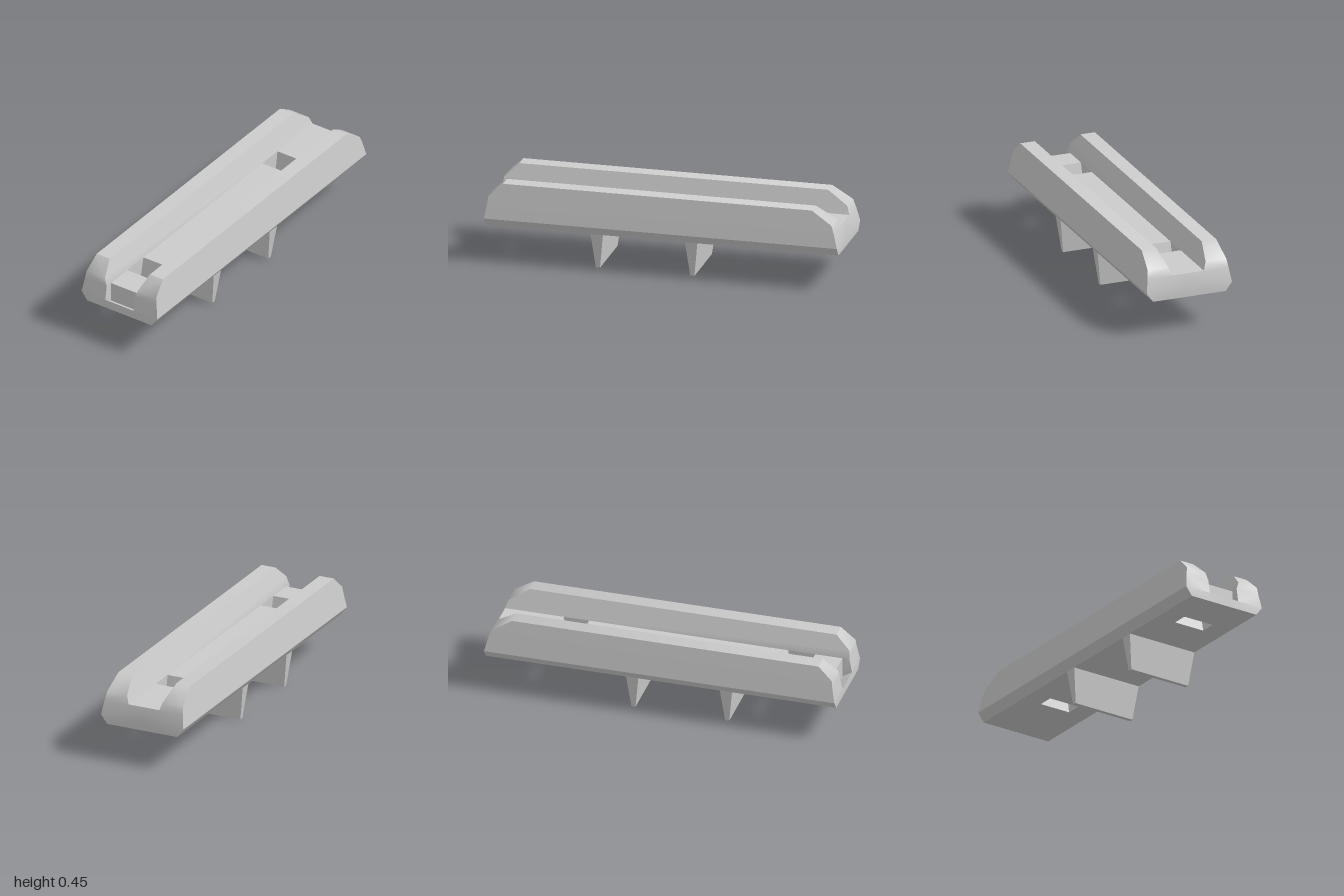
import * as THREE from 'three';
import { toCreasedNormals } from 'three/addons/utils/BufferGeometryUtils.js';

// Cross-section levels: height, outer half width, channel half width, end positions
const levels = [
  { y: 0.2, out: 0.215, x0: -1, x1: 1 },
  { y: 0.25, out: 0.252, x0: -1, x1: 1 },
  { y: 0.33, out: 0.24, inn: 0.094, x0: -0.985, x1: 0.98 },
  { y: 0.375, out: 0.233, inn: 0.11, x0: -0.98, x1: 0.965 },
  { y: 0.45, out: 0.221, inn: 0.135, x0: -0.9, x1: 0.85 },
];
const H = 0.094;          // channel, slot and notch half width
const FLOOR = 0.33;
const BASE = 0.2;
// Slots narrow downwards: top span and bottom span along x
const slots = [
  { top: [-0.79, -0.635], bottom: [-0.755, -0.665] },
  { top: [0.5, 0.645], bottom: [0.535, 0.625] },
];

function railBody() {
  const pos = [];
  // Adds a quad and its mirror image across z = 0
  const quad = (a, b, c, d) => {
    pos.push(...a, ...b, ...c, ...a, ...c, ...d);
    const m = ([x, y, z]) => [x, y, -z];
    pos.push(...m(a), ...m(c), ...m(b), ...m(a), ...m(d), ...m(c));
  };
  const flat = (xa, xb, y, za, zb, up) => {
    const q = [[xa, y, zb], [xb, y, zb], [xb, y, za], [xa, y, za]];
    quad(...(up ? q : q.reverse()));
  };

  // Flanks, channel walls and shaped ends
  for (let i = 0; i < 4; i++) {
    const a = levels[i], b = levels[i + 1], rail = i >= 2;
    quad([a.x0, a.y, a.out], [a.x1, a.y, a.out], [b.x1, b.y, b.out], [b.x0, b.y, b.out]);
    if (rail) quad([b.x0, b.y, b.inn], [b.x1, b.y, b.inn], [a.x1, a.y, a.inn], [a.x0, a.y, a.inn]);
    const ia = rail ? a.inn : 0, ib = rail ? b.inn : 0;
    quad([a.x1, a.y, a.out], [a.x1, a.y, ia], [b.x1, b.y, ib], [b.x1, b.y, b.out]);
    const na = i === 1 ? H : ia, nb = i === 1 ? H : ib;
    quad([b.x0, b.y, b.out], [b.x0, b.y, nb], [a.x0, a.y, na], [a.x0, a.y, a.out]);
  }
  const t = levels[4];
  flat(t.x0, t.x1, t.y, t.inn, t.out, true);

  // Channel floor and underside, interrupted by the slots
  const notchX = -0.945, notchY = 0.215;
  const [s, e] = slots;
  for (const [a, b] of [[notchX, s.top[0]], [s.top[1], e.top[0]], [e.top[1], 0.98]]) flat(a, b, FLOOR, 0, H, true);
  for (const [a, b] of [[-1, s.bottom[0]], [s.bottom[1], e.bottom[0]], [e.bottom[1], 1]]) flat(a, b, BASE, 0, H, false);
  flat(-1, 1, BASE, H, levels[0].out, false);

  // Slot walls
  for (const { top: [ta, tb], bottom: [ba, bb] } of slots) {
    quad([ba, BASE, H], [ba, BASE, 0], [ta, FLOOR, 0], [ta, FLOOR, H]);
    quad([tb, FLOOR, H], [tb, FLOOR, 0], [bb, BASE, 0], [bb, BASE, H]);
    quad([ta, FLOOR, H], [tb, FLOOR, H], [bb, BASE, H], [ba, BASE, H]);
  }

  // Notch in one end of the channel
  quad([-0.985, FLOOR, H], [notchX, FLOOR, H], [notchX, notchY, H], [-1, 0.25, H]);
  quad([-1, 0.25, H], [notchX, notchY, H], [notchX, notchY, 0], [-1, 0.25, 0]);
  quad([notchX, notchY, 0], [notchX, notchY, H], [notchX, FLOOR, H], [notchX, FLOOR, 0]);

  const geo = new THREE.BufferGeometry();
  geo.setAttribute('position', new THREE.Float32BufferAttribute(pos, 3));
  return toCreasedNormals(geo, 0.72);
}

// Tapered tongue under the body
function tongue() {
  const geo = new THREE.BoxGeometry(0.07, 0.2, 0.43);
  const p = geo.attributes.position;
  for (let i = 0; i < p.count; i++) {
    if (p.getY(i) < 0) {
      p.setX(i, p.getX(i) * 0.34);
      p.setZ(i, p.getZ(i) * 0.88);
    }
  }
  const flatGeo = geo.toNonIndexed();
  flatGeo.computeVertexNormals();
  return flatGeo;
}

export function createModel() {
  const group = new THREE.Group();
  group.name = 'channelRail';
  const material = new THREE.MeshStandardMaterial({ color: 0xcccccc });

  const body = new THREE.Mesh(railBody(), material);
  body.name = 'railBody';
  group.add(body);

  const geo = tongue();
  [-0.37, 0.165].forEach((x, i) => {
    const mesh = new THREE.Mesh(geo, material);
    mesh.name = i ? 'leftTongue' : 'rightTongue';
    mesh.position.set(x, 0.1, 0);
    group.add(mesh);
  });
  return group;
}
